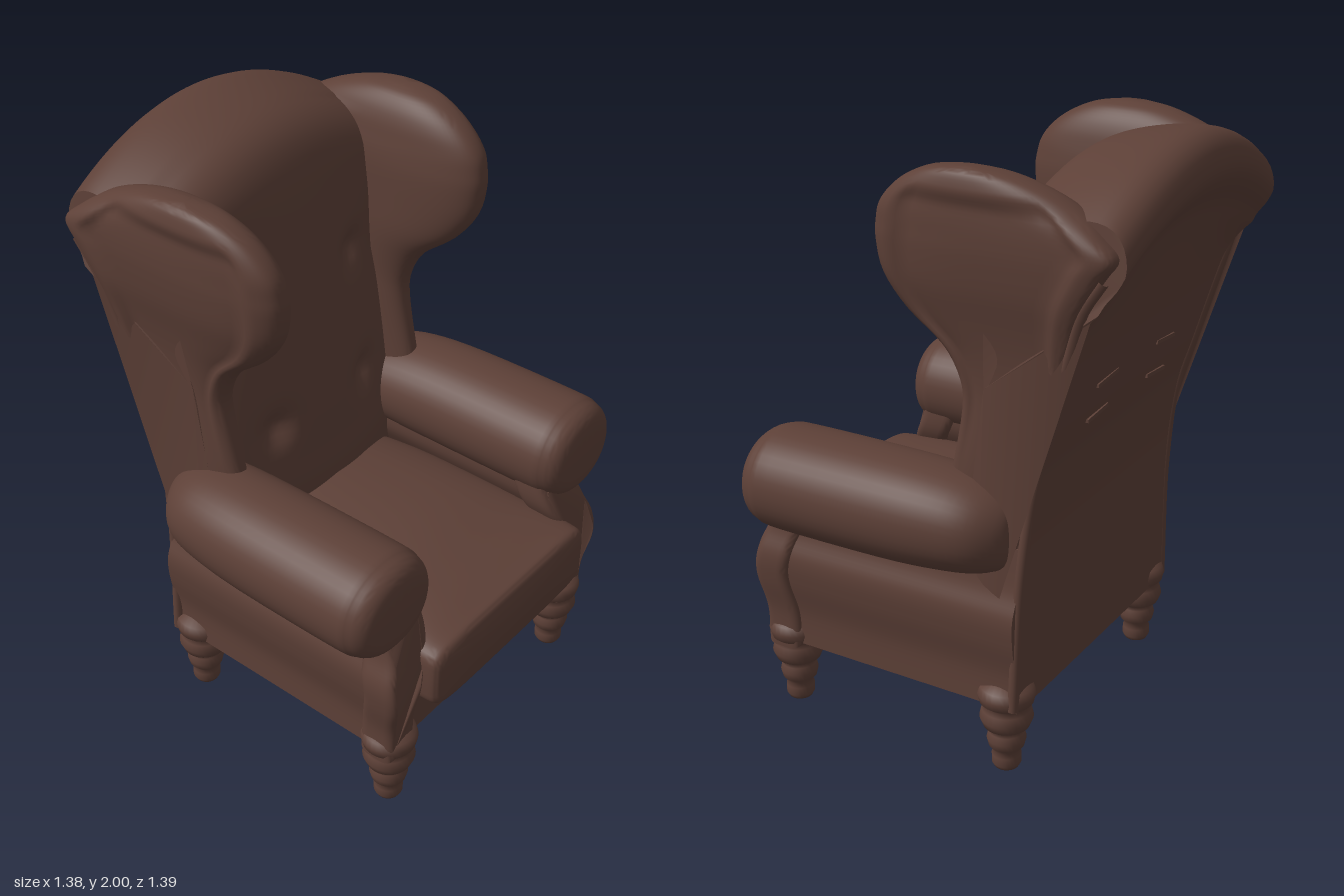
import * as THREE from 'three';
import { toCreasedNormals } from 'three/addons/utils/BufferGeometryUtils.js';

const leather = new THREE.MeshStandardMaterial({ color: 0x5d4037 });
leather.name = 'brown leather';
const { clamp, smoothstep, lerp } = THREE.MathUtils;

// Smoothly resample a table of rows, n steps between neighbours
function resample(rows, n) {
  const out = [];
  for (let i = 0; i < rows.length - 1; i++) {
    const p = rows[Math.max(i - 1, 0)], a = rows[i], b = rows[i + 1], q = rows[Math.min(i + 2, rows.length - 1)];
    for (let k = 0; k < n; k++) {
      const t = k / n;
      out.push(a.map((v, c) => {
        const m0 = (b[c] - p[c]) / 2, m1 = (q[c] - v) / 2, d = b[c] - v;
        return v + t * (m0 + t * (3 * d - 2 * m0 - m1 + t * (m0 + m1 - 2 * d)));
      }));
    }
  }
  out.push(rows[rows.length - 1]);
  return out;
}

// Value from a sorted [key, value] table
function lookup(table, key) {
  for (let i = 1; i < table.length; i++) {
    const [k0, v0] = table[i - 1], [k1, v1] = table[i];
    if (key <= k1) return lerp(v0, v1, clamp((key - k0) / (k1 - k0), 0, 1));
  }
  return table[table.length - 1][1];
}

// Skin closed rings and close both ends
function loft(rings) {
  const n = rings[0].length, pos = rings.flat(2), idx = [];
  for (let i = 0; i < rings.length - 1; i++) for (let j = 0; j < n; j++) {
    const a = i * n + j, b = i * n + (j + 1) % n;
    idx.push(a, b, b + n, a, b + n, a + n);
  }
  [rings[0], rings[rings.length - 1]].forEach((ring, e) => {
    const c = pos.length / 3, start = e ? (rings.length - 1) * n : 0;
    for (let k = 0; k < 3; k++) pos.push(ring.reduce((s, p) => s + p[k], 0) / n);
    for (let j = 0; j < n; j++) {
      const a = start + j, b = start + (j + 1) % n;
      idx.push(c, e ? a : b, e ? b : a);
    }
  });
  const g = new THREE.BufferGeometry();
  g.setAttribute('position', new THREE.Float32BufferAttribute(pos, 3));
  g.setIndex(idx);
  return toCreasedNormals(g, 1);
}

// Unit superellipse as [cos, sin] pairs, with its own power for the cos < 0 half
function oval(n, power, rearPower = power) {
  return Array.from({ length: n }, (_, i) => {
    const t = (i / n) * Math.PI * 2, c = Math.cos(t);
    const f = v => Math.sign(v) * Math.pow(Math.abs(v), 2 / (c < 0 ? rearPower : power));
    return [f(c), f(Math.sin(t))];
  });
}

// Mirror across x, keeping faces outward
function mirrorX(geometry) {
  const g = geometry.index ? geometry.toNonIndexed() : geometry.clone();
  g.scale(-1, 1, 1);
  for (const name of ['position', 'normal']) {
    const at = g.attributes[name], v = new THREE.Vector3(), w = new THREE.Vector3();
    for (let i = 0; i < at.count; i += 3) {
      v.fromBufferAttribute(at, i + 1);
      w.fromBufferAttribute(at, i + 2);
      at.setXYZ(i + 1, w.x, w.y, w.z);
      at.setXYZ(i + 2, v.x, v.y, v.z);
    }
  }
  return g;
}

const halfWidth = [[0.24, 0.525], [0.7, 0.5], [1, 0.485], [1.2, 0.49], [1.4, 0.505], [1.6, 0.53], [1.72, 0.54], [1.85, 0.525], [2, 0.51]];
const vec2 = list => list.map(p => new THREE.Vector2(...p));

// Tufted back: side profile swept across x, then crowned and dimpled
function backGeometry() {
  const profile = new THREE.SplineCurve(vec2([
    [-0.1, 0.3], [-0.055, 0.7], [-0.07, 0.9], [-0.11, 1.2], [-0.155, 1.45], [-0.205, 1.7], [-0.255, 1.86],
    [-0.33, 1.945], [-0.46, 1.988], [-0.6, 2], [-0.67, 1.965], [-0.695, 1.89], [-0.67, 1.83], [-0.61, 1.74],
    [-0.525, 1.5], [-0.44, 1.2], [-0.385, 1], [-0.35, 0.7], [-0.34, 0.24],
  ]));
  const g = new THREE.ExtrudeGeometry(new THREE.Shape(profile.getSpacedPoints(150)),
    { depth: 2, steps: 50, bevelEnabled: false });
  g.translate(0, 0, -1).rotateY(-Math.PI / 2);
  const p = g.attributes.position;
  for (let i = 0; i < p.count; i++) {
    let y = p.getY(i), z = p.getZ(i);
    const x = p.getX(i) * lookup(halfWidth, y);
    if (z > -0.14 - 0.13 * y) {
      z -= 0.07 * clamp(1 - (y - 1.4) / 0.45, 0, 1) * Math.min((x / 0.37) ** 2, 1.2);
      for (const [tx, ty] of [[0.24, 1.46], [0.22, 1.02]]) {
        const d = (Math.abs(x) - tx) ** 2 + (y - ty) ** 2;
        z -= 0.04 * Math.exp(-d / 0.003);
      }
    } else z += 0.08 * x * x * smoothstep(y, 1.7, 1.85);
    y -= 0.58 * x * x * smoothstep(y, 1.45, 1.87);
    p.setXYZ(i, x, y, z);
  }
  return toCreasedNormals(g, 0.9);
}

// Wing rows: y, front z, back z, inner x, outer x
function wingGeometry() {
  const rows = resample([
    [0.8, -0.02, -0.345, 0.38, 0.48], [1, -0.07, -0.375, 0.38, 0.497], [1.2, -0.11, -0.43, 0.375, 0.507],
    [1.3, -0.105, -0.458, 0.375, 0.514], [1.4, -0.05, -0.487, 0.37, 0.527], [1.5, 0.07, -0.517, 0.365, 0.546],
    [1.6, 0.14, -0.555, 0.365, 0.568], [1.7, 0.16, -0.615, 0.365, 0.58], [1.76, 0.155, -0.65, 0.37, 0.582],
    [1.81, 0.14, -0.6, 0.38, 0.58], [1.86, 0.1, -0.53, 0.392, 0.575], [1.905, 0.04, -0.44, 0.412, 0.567],
    [1.94, -0.04, -0.33, 0.442, 0.555], [1.955, -0.13, -0.23, 0.48, 0.535],
  ], 4);
  return loft(rows.map(([y, zf, zb, xi, xo]) => {
    const upper = smoothstep(y, 1.74, 1.88);
    return oval(64, 2.4, lerp(8, 2.4, upper)).map(([c, s]) => {
      // shallow recessed panel on the outer face
      const dip = s > 0 ? 0.02 * (1 - smoothstep(Math.abs(c), 0.68, 0.82)) * (1 - smoothstep(y, 1.84, 1.9)) * smoothstep(y, 0.9, 1.5) : 0;
      return [(xi + xo) / 2 + s * (xo - xi) / 2 - dip, y, (zf + zb) / 2 + c * (zf - zb) / 2];
    });
  }));
}

// Arm roll rows: z, centre x, radius x, centre y, radius y
function armGeometry() {
  const rows = resample([
    [-0.315, 0.47, 0.03, 0.83, 0.04], [-0.295, 0.465, 0.1, 0.83, 0.1], [-0.22, 0.475, 0.16, 0.84, 0.14],
    [-0.1, 0.488, 0.18, 0.848, 0.16], [0.1, 0.496, 0.188, 0.85, 0.17], [0.48, 0.498, 0.19, 0.85, 0.17],
    [0.55, 0.498, 0.182, 0.85, 0.162], [0.585, 0.498, 0.165, 0.85, 0.147], [0.605, 0.498, 0.135, 0.85, 0.12],
    [0.612, 0.498, 0.09, 0.85, 0.08],
  ], 4);
  return loft(rows.map(([z, cx, rx, cy, ry]) => oval(40, 2.1).map(([c, s]) => [cx + c * rx, cy + s * ry, z])));
}

// Cushion rows: z, half width, bottom, top edge, crown
function cushionGeometry() {
  const rows = resample([
    [-0.25, 0.36, 0.42, 0.66, 0.08], [0, 0.4, 0.4, 0.665, 0.075], [0.3, 0.41, 0.4, 0.665, 0.06],
    [0.52, 0.415, 0.4, 0.66, 0.025], [0.64, 0.415, 0.4, 0.655, 0.003], [0.68, 0.408, 0.405, 0.648, 0],
    [0.695, 0.385, 0.43, 0.625, 0],
  ], 4);
  return loft(rows.map(([z, w, y0, y1, crown]) => oval(64, 6).map(([c, s]) =>
    [c * w, (y0 + y1) / 2 + s * (y1 - y0) / 2 + (s > 0 ? crown * s * (1 - c * c) : 0), z])));
}

// Curved arm support outline, swept from z0 to z1; a bevelled one swells and tucks under the roll
function armSupport(z0, z1, bevel) {
  const outer = new THREE.SplineCurve(vec2([[0.525, 0.245], [0.524, 0.36], [0.544, 0.48], [0.546, 0.57], [0.515, 0.66], [0.5, 0.8]]));
  const inner = new THREE.SplineCurve(vec2([[0.36, 0.82], [0.355, 0.7], [0.41, 0.58], [0.44, 0.45], [0.435, 0.245]]));
  const shape = new THREE.Shape([...outer.getPoints(30), ...inner.getPoints(30)]);
  const g = new THREE.ExtrudeGeometry(shape, {
    depth: z1 - z0 - 2 * bevel, bevelEnabled: bevel > 0, bevelSize: bevel * 0.6, bevelThickness: bevel, bevelSegments: 5,
  });
  g.translate(0, 0, z0 + bevel);
  const p = g.attributes.position;
  for (let i = 0; bevel > 0 && i < p.count; i++) {
    const y = p.getY(i);
    p.setZ(i, p.getZ(i) + 0.025 * Math.exp(-(((y - 0.5) / 0.1) ** 2)) - 0.06 * smoothstep(y, 0.6, 0.78));
  }
  return toCreasedNormals(g, 0.9);
}

export function createModel() {
  const chair = new THREE.Group();
  chair.name = 'wingbackChair';
  const add = (name, geometry, x = 0, y = 0, z = 0) => {
    const m = new THREE.Mesh(geometry, leather);
    m.name = name;
    m.position.set(x, y, z);
    chair.add(m);
    return m;
  };
  const addPair = (name, geometry) => {
    add(name + 'Left', geometry);
    add(name + 'Right', mirrorX(geometry));
  };

  // Seat
  add('seatBase', new THREE.BoxGeometry(1.03, 0.24, 0.92), 0, 0.36, 0.125);
  add('seatCushion', cushionGeometry());

  // Back and wings
  add('backrest', backGeometry());
  addPair('wing', wingGeometry());

  // Arms
  addPair('armRoll', armGeometry());
  addPair('armPanel', armSupport(-0.335, 0.57, 0));
  addPair('frontPost', armSupport(0.49, 0.62, 0.035));

  // Piping down the back corners
  const seam = [[0.25, -0.328], [0.7, -0.34], [1, -0.375], [1.2, -0.43], [1.45, -0.5], [1.6, -0.55], [1.7, -0.615]];
  const path = new THREE.CatmullRomCurve3(seam.map(([y, z]) => new THREE.Vector3(lookup(halfWidth, y) + 0.003, y, z)));
  addPair('backPiping', new THREE.TubeGeometry(path, 40, 0.018, 10));

  // Small pulled creases behind the tufts
  for (const x of [-0.2, 0.2]) for (const [y, z] of [[1.28, -0.462], [1.16, -0.43]]) {
    add('backCrease', new THREE.BoxGeometry(0.13, 0.012, 0.012), x, y, z).rotation.z = -x * 0.4;
  }

  // Turned legs
  const legProfile = [[0, 0], [0.04, 0], [0.048, 0.015], [0.048, 0.045], [0.042, 0.06], [0.058, 0.08], [0.064, 0.105],
    [0.058, 0.13], [0.052, 0.142], [0.075, 0.155], [0.087, 0.185], [0.08, 0.215], [0.07, 0.23],
    [0.088, 0.245], [0.094, 0.272], [0.086, 0.3], [0.05, 0.32], [0, 0.325]];
  const leg = new THREE.LatheGeometry(vec2(legProfile), 28);
  for (const x of [-0.467, 0.467]) {
    add('frontLeg', leg, x, 0, 0.553);
    add('backLeg', leg, x, 0, -0.27);
  }
  return chair;
}
